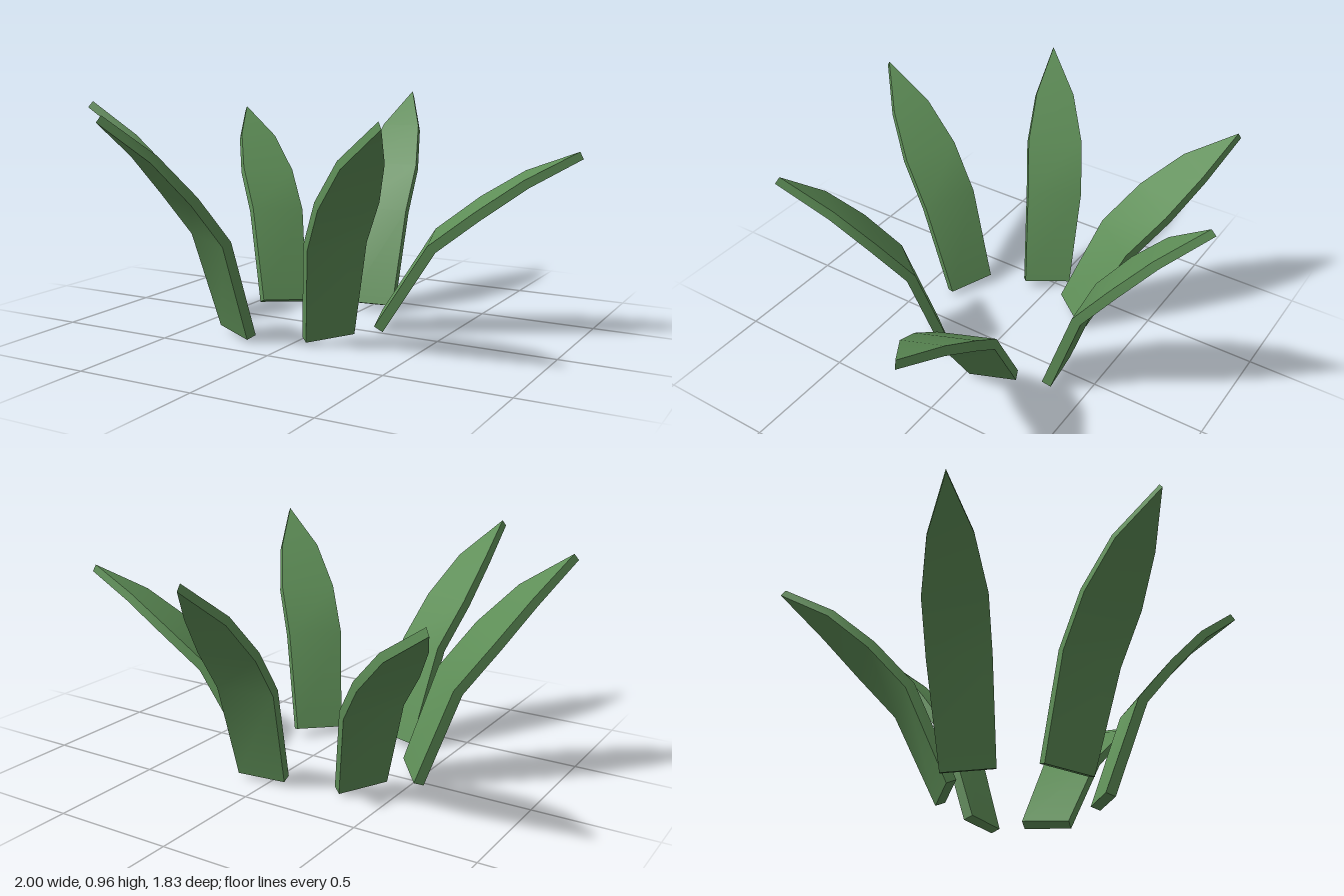
import * as THREE from 'three';
import { toCreasedNormals } from 'three/addons/utils/BufferGeometryUtils.js';

// Leaf stations: distance along the base-to-tip chord, bow above it, half width, thickness
const STATIONS = [
  [0, 0, 0.106, 0.043],
  [0.418, 0.118, 0.125, 0.042],
  [0.657, 0.101, 0.125, 0.04],
  [0.881, 0.068, 0.087, 0.037],
  [1.105, 0, 0, 0.033],
];

// Each leaf: left and right corner of the base, then the tip
const LEAVES = [
  { left: [-0.07, 0.04, -0.295], right: [0.14, 0.04, -0.32], tip: [-0.04, 0.965, -0.9] },
  { left: [0.15, 0.055, -0.21], right: [0.21, 0.03, 0], tip: [0.987, 0.785, -0.247] },
  { left: [0.17, 0.05, 0.135], right: [0.04, 0.04, 0.3], tip: [0.55, 0.95, 0.65] },
  { left: [-0.15, 0.03, 0.35], right: [-0.34, 0.05, 0.265], tip: [-0.45, 0.95, 0.895] },
  { left: [-0.39, 0.05, 0.096], right: [-0.524, 0.03, -0.064], tip: [-0.985, 0.955, 0.335] },
  { left: [-0.396, 0.05, -0.096], right: [-0.273, 0.03, -0.262], tip: [-0.855, 0.88, -0.665] },
];

function leafGeometry({ left, right, tip }) {
  const a = new THREE.Vector3(...left);
  const b = new THREE.Vector3(...right);
  const base = a.clone().add(b).multiplyScalar(0.5);
  const chord = new THREE.Vector3(...tip).sub(base);
  const scale = chord.length() / 1.105;
  chord.normalize();
  const side = b.sub(a);
  side.addScaledVector(chord, -side.dot(chord)).normalize();
  const up = side.clone().cross(chord);

  // Four corners per station: left top, right top, right bottom, left bottom
  const rings = STATIONS.map(([along, bow, half, thick], i) => {
    const prev = STATIONS[Math.max(i - 1, 0)];
    const next = STATIONS[Math.min(i + 1, STATIONS.length - 1)];
    const tangent = new THREE.Vector2(next[0] - prev[0], next[1] - prev[1]).normalize();
    const corner = (s, depth) => base.clone()
      .addScaledVector(side, s * half * scale)
      .addScaledVector(chord, (along + tangent.y * depth) * scale)
      .addScaledVector(up, (bow - tangent.x * depth) * scale);
    return [corner(-1, 0), corner(1, 0), corner(1, thick), corner(-1, thick)];
  });

  const positions = [];
  const triangle = (p, q, r) => {
    const area = q.clone().sub(p).cross(r.clone().sub(p)).length();
    if (area > 1e-7) for (const v of [p, q, r]) positions.push(v.x, v.y, v.z);
  };
  const quad = (p, q, r, s) => {
    triangle(p, q, r);
    triangle(p, r, s);
  };
  for (let i = 0; i < rings.length - 1; i++) {
    for (let k = 0; k < 4; k++) {
      const n = (k + 1) % 4;
      quad(rings[i][k], rings[i][n], rings[i + 1][n], rings[i + 1][k]);
    }
  }
  // Base end
  quad(rings[0][0], rings[0][3], rings[0][2], rings[0][1]);

  const geometry = new THREE.BufferGeometry();
  geometry.setAttribute('position', new THREE.Float32BufferAttribute(positions, 3));
  return toCreasedNormals(geometry, 0.6);
}

export function createModel() {
  const group = new THREE.Group();
  group.name = 'leafTuft';
  const leafGreen = new THREE.MeshStandardMaterial({ color: 0x5e8e57 });
  leafGreen.name = 'leafGreen';
  LEAVES.forEach((leaf, i) => {
    const mesh = new THREE.Mesh(leafGeometry(leaf), leafGreen);
    mesh.name = `leaf${i + 1}`;
    group.add(mesh);
  });
  return group;
}
